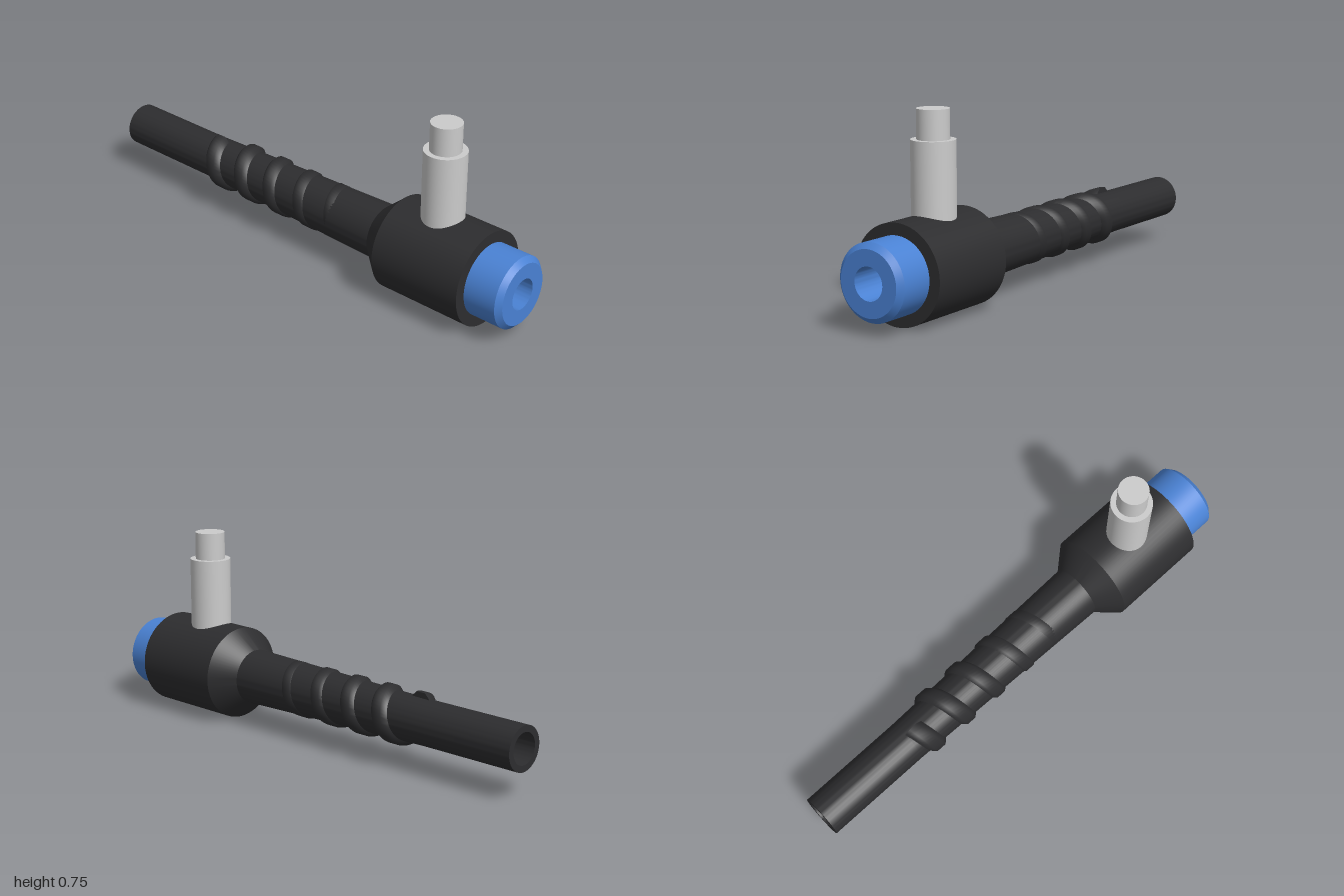
import * as THREE from 'three';
import { toCreasedNormals } from 'three/addons/utils/BufferGeometryUtils.js';

const AXIS_Y = 0.1875;
const BORE = 0.061;
const black = new THREE.MeshStandardMaterial({ color: 0x2d2d2f });
const blue = new THREE.MeshStandardMaterial({ color: 0x4a82d4 });
const grey = new THREE.MeshStandardMaterial({ color: 0xcccccc });

// Turned part along z; profile is a closed loop of [radius, z]
function turned(name, profile, material) {
  const points = profile.map(([r, z]) => new THREE.Vector2(r, z));
  const geometry = new THREE.LatheGeometry(points, 72).rotateX(Math.PI / 2);
  const mesh = new THREE.Mesh(toCreasedNormals(geometry, 0.4), material);
  mesh.name = name;
  mesh.position.y = AXIS_Y;
  return mesh;
}

// Raised spiral ridge that emerges from the tapered shaft and ends at the top
function spiralRidge() {
  const pitch = 0.16, zEnd = -0.52, zStart = 0.2, steps = 220;
  const section = [[-0.045, 0], [-0.036, 0.45], [-0.02, 1], [0.02, 1], [0.036, 0.45], [0.045, 0]];
  const n = section.length;
  const positions = [], index = [];
  for (let i = 0; i <= steps; i++) {
    const t = i / steps;
    const z = THREE.MathUtils.lerp(zStart, zEnd, t);
    const angle = Math.PI / 2 + ((z - zEnd) / pitch) * Math.PI * 2;
    const outer = 0.104 + 0.005 * Math.min(1, t * 2);
    for (const [dz, h] of section) {
      const r = THREE.MathUtils.lerp(0.082, outer, h);
      positions.push(r * Math.cos(angle), r * Math.sin(angle), z + dz);
    }
  }
  for (let i = 0; i < steps; i++) {
    for (let j = 0; j < n; j++) {
      const k = (j + 1) % n;
      const a = i * n + j, b = i * n + k, c = a + n, d = b + n;
      index.push(a, b, c, b, d, c);
    }
  }
  // End caps
  const last = steps * n;
  for (let j = 1; j < n - 1; j++) {
    index.push(0, j + 1, j, last, last + j, last + j + 1);
  }
  const geometry = new THREE.BufferGeometry();
  geometry.setAttribute('position', new THREE.Float32BufferAttribute(positions, 3));
  geometry.setIndex(index);
  const material = black.clone();
  material.side = THREE.DoubleSide;
  const mesh = new THREE.Mesh(toCreasedNormals(geometry, 0.9), material);
  mesh.name = 'spiralRidge';
  mesh.position.y = AXIS_Y;
  return mesh;
}

function post(name, radius, y0, y1) {
  const mesh = new THREE.Mesh(new THREE.CylinderGeometry(radius, radius, y1 - y0, 48), grey);
  mesh.name = name;
  mesh.position.set(0, (y0 + y1) / 2, 0.63);
  return mesh;
}

export function createModel() {
  const model = new THREE.Group();
  model.name = 'hoseConnector';

  // Housing and tapered hollow shaft
  model.add(turned('body', [
    [BORE, -1], [0.086, -1], [0.0865, -0.56], [0.11, 0.36],
    [0.1865, 0.45], [0.1865, 0.845], [BORE, 0.845], [BORE, -1],
  ], black));
  model.add(spiralRidge());

  // Chamfered front collar
  model.add(turned('frontCollar', [
    [BORE, 0.843], [0.142, 0.843], [0.142, 0.98], [0.121, 1], [BORE, 1], [BORE, 0.843],
  ], blue));

  // Stepped side post
  model.add(post('post', 0.082, 0.3, 0.64));
  model.add(post('postTip', 0.06, 0.63, 0.75));
  return model;
}
